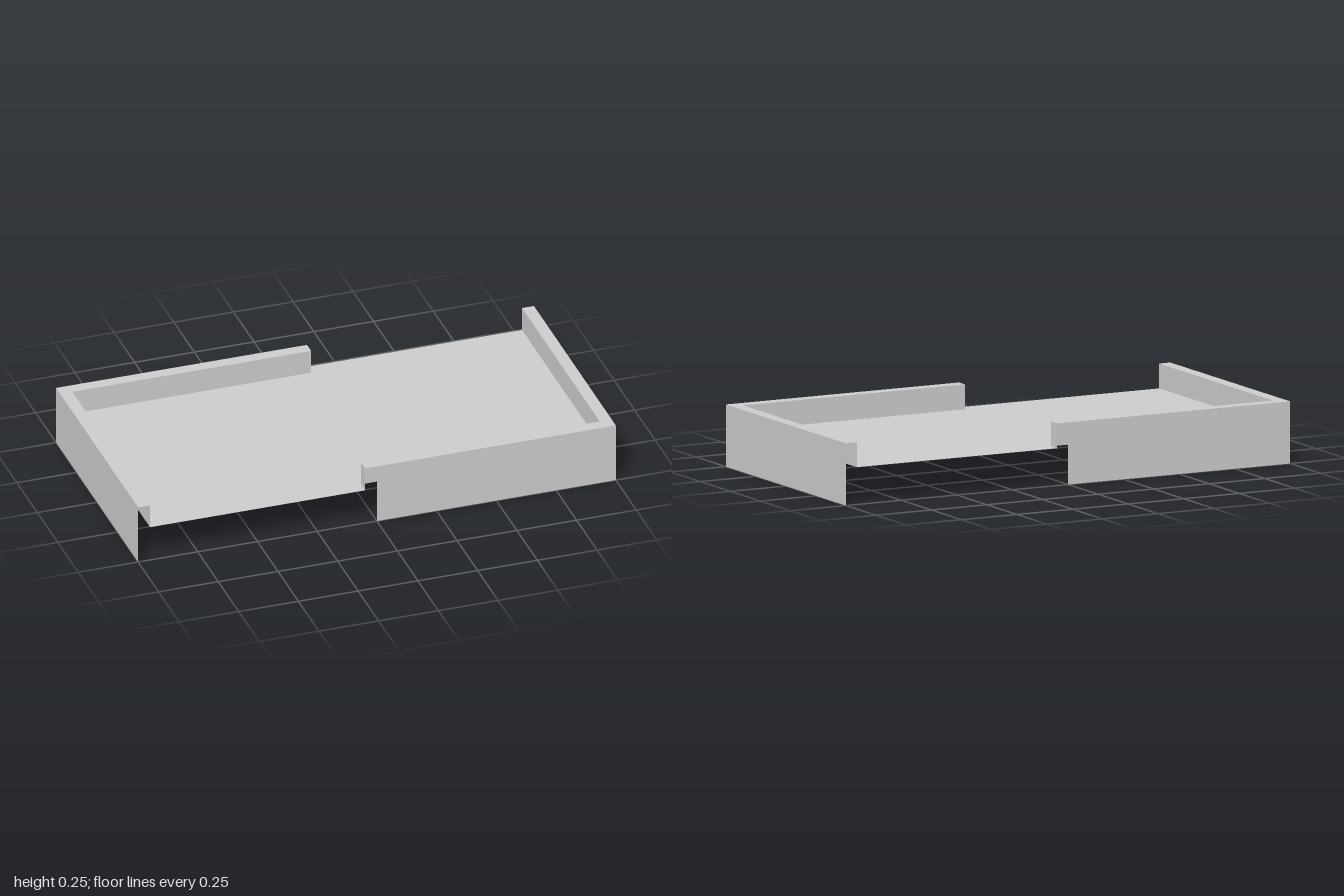
import * as THREE from 'three';
import { mergeGeometries } from 'three/addons/utils/BufferGeometryUtils.js';

const DECK_Y = 0.15, TOP_Y = 0.25;

// Horizontal sheet from an [x, z] outline, facing up
function sheet(outline, y) {
  const shape = new THREE.Shape(outline.map(([x, z]) => new THREE.Vector2(x, -z)));
  return new THREE.ShapeGeometry(shape).rotateX(-Math.PI / 2).translate(0, y, 0);
}

// Vertical sheets along an [x, z] path, facing the right-hand side of travel
function wall(path, y0, y1) {
  const panels = path.slice(1).map(([bx, bz], i) => {
    const [ax, az] = path[i];
    return new THREE.PlaneGeometry(Math.hypot(bx - ax, bz - az), y1 - y0)
      .rotateY(Math.atan2(az - bz, bx - ax))
      .translate((ax + bx) / 2, (y0 + y1) / 2, (az + bz) / 2);
  });
  return mergeGeometries(panels);
}

export function createModel() {
  const model = new THREE.Group();
  model.name = 'roofTerrace';
  const grey = new THREE.MeshStandardMaterial({ color: 0xcccccc, side: THREE.DoubleSide });
  grey.name = 'lightGrey';

  const add = (parent, name, geometry) => {
    const mesh = new THREE.Mesh(geometry, grey);
    mesh.name = name;
    parent.add(mesh);
  };

  // Deck, notched where the two parapets stand
  const halfDeck = [[-0.95, 0.5], [-0.05, 0.5], [-0.05, 0.45], [0.95, 0.45]];
  add(model, 'deck', sheet([...halfDeck, ...halfDeck.map(([x, z]) => [-x, -z])], DECK_Y));

  // Two L-shaped hollow parapets, half a turn apart
  for (const [name, turn] of [['frontParapet', 0], ['backParapet', Math.PI]]) {
    const parapet = new THREE.Group();
    parapet.name = name;
    parapet.rotation.y = turn;
    add(parapet, 'outerSkirt', wall([[0, 0.5], [1, 0.5], [1, -0.5]], 0, TOP_Y));
    const inner = [[0.95, -0.5], [0.95, 0.45], [-0.05, 0.45], [-0.05, 0.5]];
    add(parapet, 'innerWall', wall(inner, DECK_Y, TOP_Y));
    add(parapet, 'cap', sheet([...inner, [1, 0.5], [1, -0.5]], TOP_Y));
    model.add(parapet);
  }
  return model;
}
